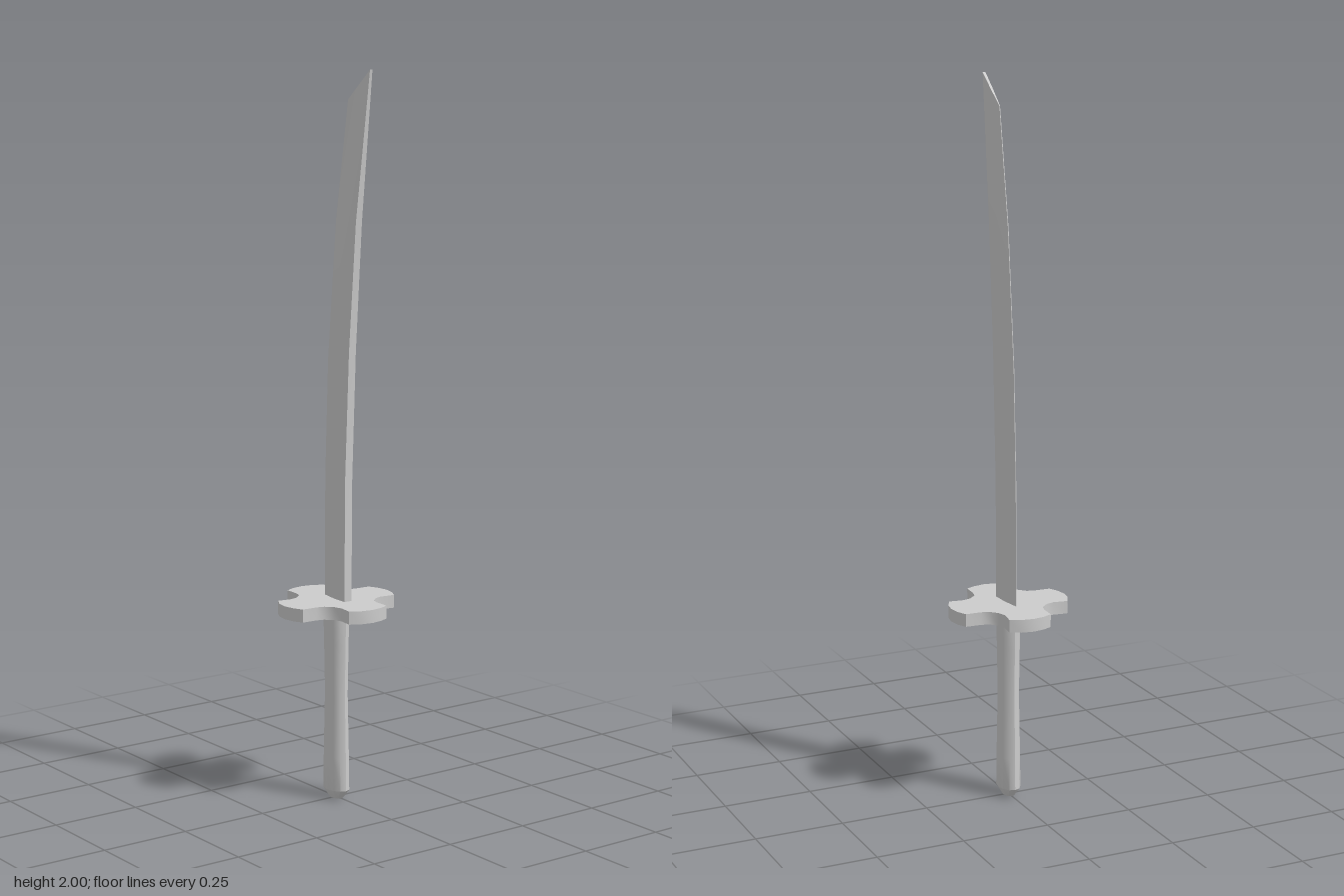
import * as THREE from 'three';
import { toCreasedNormals } from 'three/addons/utils/BufferGeometryUtils.js';

const material = new THREE.MeshStandardMaterial({ color: 0xcccccc });

function addPart(group, name, geometry, crease) {
  const mesh = new THREE.Mesh(toCreasedNormals(geometry, crease), material);
  mesh.name = name;
  group.add(mesh);
  return mesh;
}

// Closed solid through rings of equal length, with fan caps at both ends
function loft(rings) {
  const n = rings[0].length;
  const index = [];
  for (let r = 0; r < rings.length - 1; r++) {
    for (let i = 0; i < n; i++) {
      const a = r * n + i, b = r * n + (i + 1) % n;
      index.push(a, a + n, b, b, a + n, b + n);
    }
  }
  const top = (rings.length - 1) * n;
  for (let i = 1; i < n - 1; i++) {
    index.push(0, i, i + 1, top, top + i + 1, top + i);
  }
  const geometry = new THREE.BufferGeometry();
  geometry.setAttribute('position', new THREE.Float32BufferAttribute(rings.flat(2), 3));
  geometry.setIndex(index);
  return geometry;
}

// Blade: thick spine toward +z, sharp edge toward -z, curving forward
function bladeGeometry() {
  // [spine y, spine z, edge y, edge z, half thickness]
  const stations = [
    [0.54, 0.053, 0.54, -0.052, 0.012],
    [0.9, 0.056, 0.9, -0.049, 0.012],
    [1.25, 0.072, 1.22, -0.036, 0.0115],
    [1.6, 0.1, 1.6, 0, 0.01],
    [2.0, 0.152, 1.92, 0.053, 0.004],
  ];
  return loft(stations.map(([sy, sz, ey, ez, t]) => {
    const my = (sy + ey) / 2, mz = (sz + ez) / 2;
    return [
      [t, sy, sz], [-t, sy, sz],
      [-t * 0.8, my, mz], [-0.001, ey, ez],
      [0.001, ey, ez], [t * 0.8, my, mz],
    ];
  }));
}

// Guard: one lobe and its hollow, repeated four times around
function guardGeometry() {
  const lobe = [
    [-0.055, -0.153], [-0.028, -0.165], [0.004, -0.17], [0.038, -0.164], [0.067, -0.148],
    [0.061, -0.107], [0.068, -0.084], [0.087, -0.063], [0.109, -0.057],
  ];
  const outline = [];
  for (let q = 0; q < 4; q++) {
    for (const [x, y] of lobe) {
      outline.push(new THREE.Vector2(x, y).rotateAround(new THREE.Vector2(), q * Math.PI / 2));
    }
  }
  const geometry = new THREE.ExtrudeGeometry(new THREE.Shape(outline), { depth: 0.036, bevelEnabled: false });
  return geometry.rotateX(Math.PI / 2).translate(0, 0.566, 0);
}

// Grip: oval, slightly waisted, with a chamfered butt
function gripGeometry() {
  const profile = [
    [0, 0], [0.016, 0], [0.031, 0.026], [0.03, 0.12], [0.027, 0.3], [0.029, 0.44], [0.031, 0.54], [0, 0.54],
  ].map(([r, y]) => new THREE.Vector2(r, y));
  return new THREE.LatheGeometry(profile, 12).scale(1, 1, 1.47);
}

export function createModel() {
  const group = new THREE.Group();
  group.name = 'sword';
  addPart(group, 'blade', bladeGeometry(), 0.3);
  // The outline is mirrored so the lobes lean the same way seen from above
  const guard = addPart(group, 'guard', guardGeometry(), 0.7);
  guard.rotation.y = 0;
  addPart(group, 'grip', gripGeometry(), 0.6);
  return group;
}
